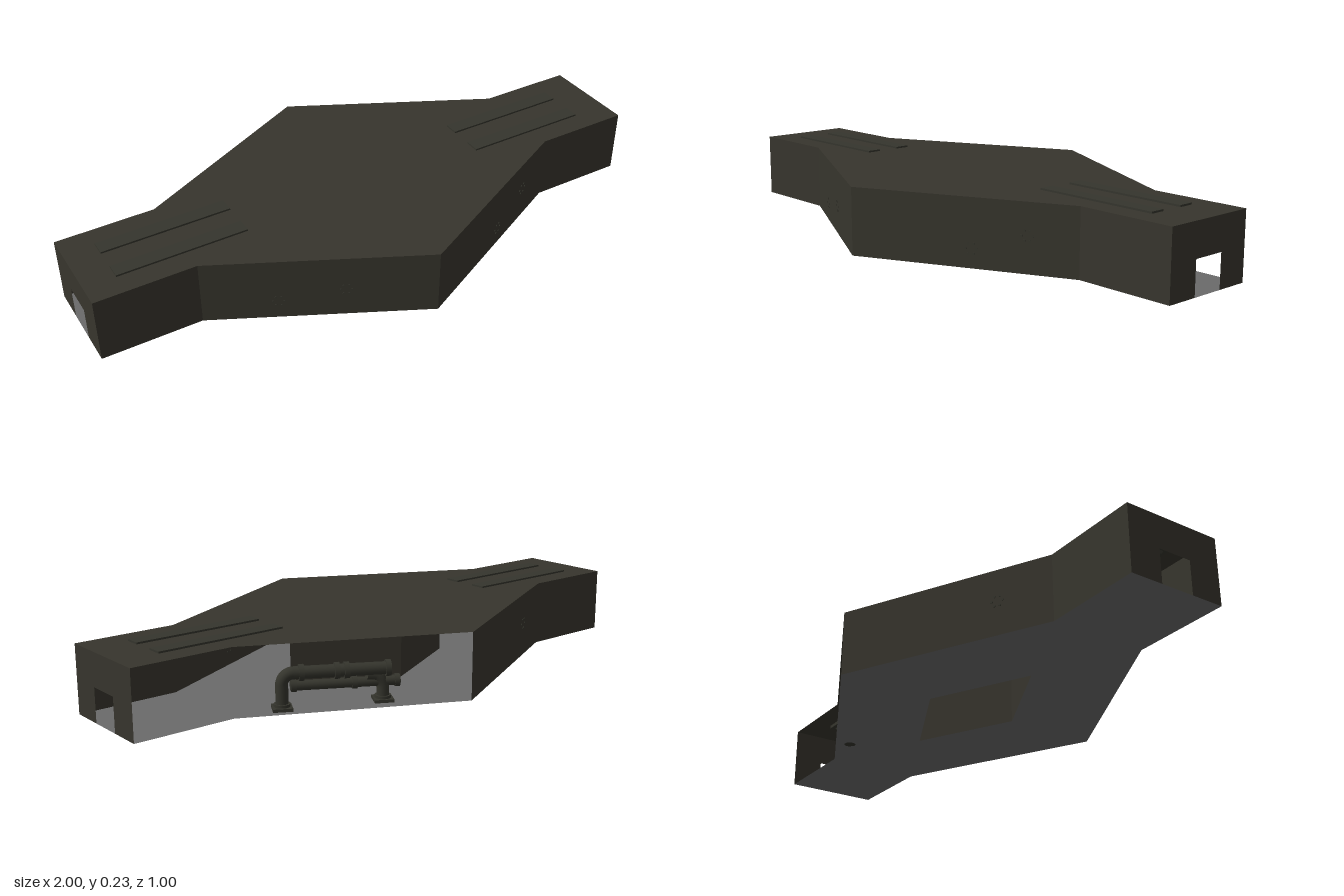
import * as THREE from 'three';

export function createModel() {
  const root = new THREE.Group();
  const wallMat = new THREE.MeshStandardMaterial({ color: 0x37352d, side: THREE.DoubleSide });
  wallMat.name = 'dark olive wall';
  const floorMat = new THREE.MeshStandardMaterial({ color: 0x6b6b6b, side: THREE.DoubleSide });
  floorMat.name = 'grey floor';
  const pipeMat = new THREE.MeshStandardMaterial({ color: 0x35352d, side: THREE.DoubleSide });
  pipeMat.name = 'dark pipe metal';

  const H = 0.222, Z = 0.167, X = 0.665;

  const add = (parent, name, geo, mat, x = 0, y = 0, z = 0) => {
    const m = new THREE.Mesh(geo, mat);
    m.name = name;
    m.position.set(x, y, z);
    parent.add(m);
    return m;
  };
  const points = (list) => list.map(([x, z]) => new THREE.Vector2(x, -z));

  // Outline of the room, and the diamond pillar in its middle
  const outline = [[1, Z], [1, -Z], [X, -Z], [0, -0.5], [-X, -Z], [-1, -Z], [-1, Z], [-X, Z], [0, 0.5], [X, Z]];
  const diamond = [[0.333, 0], [0, -Z], [-0.333, 0], [0, Z]];

  // Floor is open under the pillar; ceiling is whole
  const floorShape = new THREE.Shape(points(outline));
  floorShape.holes.push(new THREE.Path(points(diamond)));
  add(root, 'floor', new THREE.ShapeGeometry(floorShape).rotateX(-Math.PI / 2), floorMat);
  add(root, 'ceiling', new THREE.ShapeGeometry(new THREE.Shape(points(outline))).rotateX(-Math.PI / 2), wallMat, 0, H, 0);

  // A flat upright wall between two plan points
  const wall = (name, a, b) => {
    const dx = b[0] - a[0], dz = b[1] - a[1];
    const m = add(root, name, new THREE.PlaneGeometry(Math.hypot(dx, dz), H), wallMat,
      (a[0] + b[0]) / 2, H / 2, (a[1] + b[1]) / 2);
    m.rotation.y = Math.atan2(-dz, dx) + Math.PI;
  };
  // The back wall on the left half is left open
  for (const i of [3, 4, 6, 7, 8, 9]) wall('sideWall', outline[i], outline[(i + 1) % 10]);
  for (let i = 0; i < 4; i++) wall('pillarWall', diamond[i], diamond[(i + 1) % 4]);

  // End walls with a doorway
  const end = new THREE.Shape([[-Z, 0], [-0.057, 0], [-0.057, 0.112], [0.057, 0.112], [0.057, 0], [Z, 0], [Z, H], [-Z, H]]
    .map(([x, y]) => new THREE.Vector2(x, y)));
  for (const s of [1, -1]) {
    add(root, 'endWall', new THREE.ShapeGeometry(end), wallMat, s, 0, 0).rotation.y = s * Math.PI / 2;
  }

  // Light housings set through the ceiling
  for (const x of [0.645, -0.675]) {
    for (const z of [0.064, -0.064]) {
      const g = new THREE.Group();
      g.name = 'ceilingLight';
      g.position.set(x, H, z);
      root.add(g);
      add(g, 'lightHousing', new THREE.BoxGeometry(0.44, 0.018, 0.052), pipeMat, 0, -0.003, 0);
      const tube = add(g, 'lightTube', new THREE.CylinderGeometry(0.011, 0.011, 0.41, 10), pipeMat, 0, -0.014, 0);
      tube.rotation.z = Math.PI / 2;
    }
  }

  // Rings of bolt heads showing on the slanted walls: x, y, side of z
  for (const [x, y, s] of [[0.52, 0.118, 1], [0.36, 0.062, 1], [-0.45, 0.065, 1], [-0.26, 0.1, 1], [-0.5, 0.115, -1]]) {
    const g = new THREE.Group();
    g.name = 'boltRing';
    g.position.set(x, y, s * (0.5 - 0.5 * Math.abs(x)));
    g.rotation.y = Math.atan2(Math.sign(x), 2 * s);
    root.add(g);
    for (let i = 0; i < 6; i++) {
      const a = i * Math.PI / 3;
      const bolt = add(g, 'bolt', new THREE.CylinderGeometry(0.004, 0.004, 0.004, 6), pipeMat,
        Math.cos(a) * 0.018, Math.sin(a) * 0.018, 0);
      bolt.rotation.x = Math.PI / 2;
    }
  }

  // Pipework along the open side; local x runs along the pipes
  const pipes = new THREE.Group();
  pipes.name = 'pipework';
  pipes.position.set(0.505, 0, -0.19);
  pipes.rotation.y = Math.atan2(0.48, -0.87);
  root.add(pipes);
  const level = (name, r, x0, x1, y, z) => {
    add(pipes, name, new THREE.CylinderGeometry(r, r, x1 - x0, 16), pipeMat, (x0 + x1) / 2, y, z).rotation.z = Math.PI / 2;
  };
  const upright = (name, r, y0, y1, x, z) => {
    add(pipes, name, new THREE.CylinderGeometry(r, r, y1 - y0, 16), pipeMat, x, (y0 + y1) / 2, z);
  };

  // Upper pipe: riser, elbow, run and collars
  const R = 0.035, yA = 0.115;
  upright('upperRiser', 0.02, 0, yA - R, 0, 0);
  add(pipes, 'upperElbow', new THREE.TorusGeometry(R, 0.02, 14, 10, Math.PI / 2), pipeMat, R, yA - R, 0).rotation.y = Math.PI;
  level('upperRun', 0.02, R, 0.335, yA, 0);
  for (const x of [0.06, 0.17, 0.2, 0.33]) level('upperCollar', 0.026, x - 0.008, x + 0.008, yA, 0);

  // Lower pipe: run with a curved drop to the floor
  const zB = -0.029, yB = 0.065;
  level('lowerRun', 0.016, 0.03, 0.37, yB, zB);
  for (const x of [0.04, 0.23, 0.365]) level('lowerCollar', 0.02, x - 0.008, x + 0.008, yB, zB);
  const drop = new THREE.CatmullRomCurve3([[0.27, 0.09], [0.3, 0.085], [0.317, 0.06], [0.32, 0.03], [0.32, 0]]
    .map(([x, y]) => new THREE.Vector3(x, y, zB)));
  add(pipes, 'lowerDrop', new THREE.TubeGeometry(drop, 16, 0.02, 14), pipeMat);

  // Floor flanges
  for (const [x, z] of [[0, 0], [0.32, zB]]) {
    upright('flange', 0.026, 0.01, 0.02, x, z);
    add(pipes, 'footPlate', new THREE.BoxGeometry(0.062, 0.01, 0.062), pipeMat, x, 0.006, z);
  }
  return root;
}
